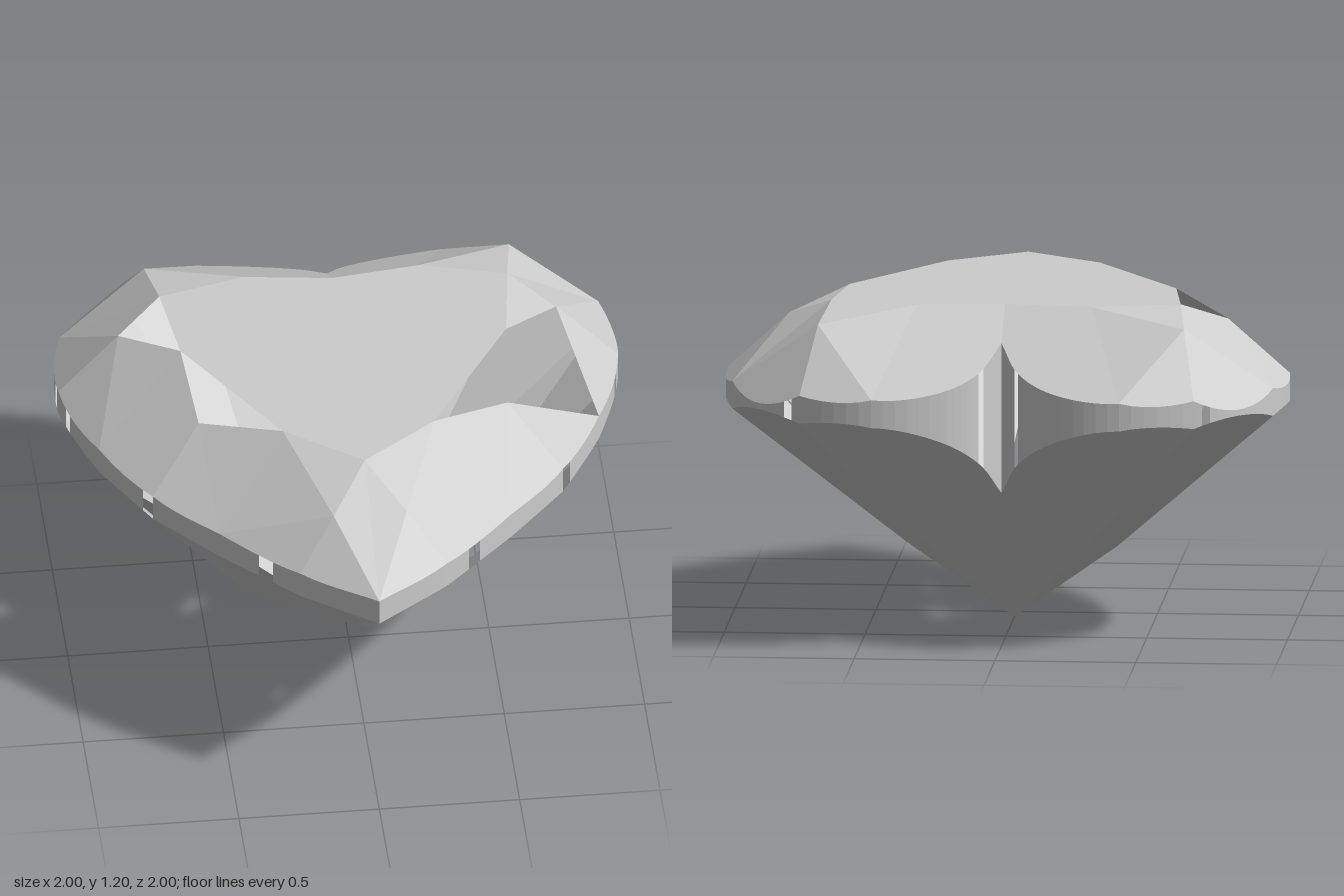
import * as THREE from 'three';

const V = (x, y, z) => new THREE.Vector3(x, y, z);

// Half of the heart outline (x, z), from the front tip round to the back notch
const OUTLINE = [[0, 1], [0.26, 0.81], [0.52, 0.55], [0.73, 0.31], [0.89, 0.02], [0.98, -0.24], [1, -0.42],
  [0.96, -0.64], [0.85, -0.82], [0.7, -0.93], [0.44, -1], [0.2, -0.94], [0.07, -0.84], [0, -0.7]];
const SUB = 6;
const LOBE = 10 * SUB, END = 13 * SUB;
const GAPS = [8, 18, 29, 34, 52, 72]; // open slots in the girdle

// Corners of one half of the stone
const APEX = V(0, 0, -0.1);
const TABLE = [V(0, 1.2, 0.53), V(0.27, 1.2, 0.33), V(0.58, 1.2, -0.17), V(0.62, 1.2, -0.49),
  V(0.31, 1.2, -0.57), V(0, 1.2, -0.53)];
const CROWN = [V(0.13, 1.1, 0.71), V(0.55, 1.12, 0.15), V(0.78, 1.13, -0.37), V(0.65, 1.15, -0.72)];
const PAVILION = [V(0.09, 0.27, 0.25), V(0.37, 0.27, 0.03), V(0.37, 0.27, -0.17), V(0.25, 0.27, -0.39)];
const MAINS = [0, 2, 4, 7, 10].map((i) => i * SUB); // girdle corners of the main facets
const HALVES = [SUB, 3 * SUB, 5.5 * SUB, 9 * SUB];  // where the half facets meet

// Height on the plane through a, b, c above (x, z)
function planeY(a, b, c, p) {
  const n = b.clone().sub(a).cross(c.clone().sub(a));
  return a.y - (n.x * (p.x - a.x) + n.z * (p.z - a.z)) / n.y;
}

// Upper and lower girdle edges, where the flat facets cut the heart-shaped wall
function girdleEdges() {
  const curve = new THREE.CatmullRomCurve3(OUTLINE.map(([x, z]) => V(x, 0, z)));
  const base = Array.from({ length: END + 1 }, (_, i) => curve.getPoint(i / END));
  const at = (i, y) => V(base[i].x, y, base[i].z);
  const top = [], bottom = [];
  for (let k = 0; k < 4; k++) {
    for (const [s, e] of [[MAINS[k], HALVES[k]], [HALVES[k], MAINS[k + 1]]]) {
      for (let i = s; i <= e; i++) {
        top[i] = at(i, planeY(CROWN[k], at(s, 0.93), at(e, 0.93), base[i]));
        bottom[i] = at(i, planeY(PAVILION[k], at(s, 0.83), at(e, 0.83), base[i]));
      }
    }
  }
  for (let i = LOBE; i <= END; i++) {
    top[i] = at(i, planeY(TABLE[4], TABLE[5], at(LOBE, 0.93), base[i]));
    bottom[i] = at(i, planeY(APEX, V(0, 0.55, -0.7), at(LOBE, 0.83), base[i]));
  }
  return { top, bottom };
}

// Mesh from flat polygons, each cut as a fan from its first corner
function facets(name, polygons, side, material) {
  const positions = [];
  for (const p of polygons) {
    for (let i = 1; i < p.length - 1; i++) {
      const tri = side > 0 ? [p[0], p[i], p[i + 1]] : [p[0], p[i + 1], p[i]];
      tri.forEach((v) => positions.push(v.x * side, v.y, v.z));
    }
  }
  const geometry = new THREE.BufferGeometry();
  geometry.setAttribute('position', new THREE.Float32BufferAttribute(positions, 3));
  geometry.computeVertexNormals();
  const mesh = new THREE.Mesh(geometry, material);
  mesh.name = name;
  return mesh;
}

export function createModel() {
  const group = new THREE.Group();
  group.name = 'heartCutGem';
  const material = new THREE.MeshStandardMaterial({ color: 0xcccccc, side: THREE.DoubleSide });
  material.name = 'pale grey crystal';
  const { top, bottom } = girdleEdges();
  const arc = (edge, s, e) => edge.slice(s, e + 1);

  for (const side of [1, -1]) {
    const word = side > 0 ? 'left' : 'right';
    const add = (part, polygons) => group.add(facets(word + part, polygons, side, material));

    // Flat table on top
    add('Table', [[V(0, 1.2, 0), ...TABLE]]);

    // Kite facets of the crown; one is open on the left
    const kites = [[top[0], CROWN[0], TABLE[0]]];
    for (let k = 1; k < 4; k++) {
      if (k === 2 && side > 0) continue;
      kites.push([top[MAINS[k]], CROWN[k], TABLE[k], CROWN[k - 1]]);
    }
    kites.push([top[LOBE], TABLE[4], CROWN[3]]);
    add('CrownKites', kites);

    // Star facets round the table, with open ones
    const stars = [];
    for (let k = 0; k < 4; k++) {
      if (k === 1 || (k === 2 && side < 0)) continue;
      stars.push([TABLE[k], CROWN[k], TABLE[k + 1]]);
    }
    add('CrownStars', stars);

    // Half facets above and below the girdle
    const upper = [], lower = [];
    for (let k = 0; k < 4; k++) {
      for (const [s, e] of [[MAINS[k], HALVES[k]], [HALVES[k], MAINS[k + 1]]]) {
        upper.push([CROWN[k], ...arc(top, s, e)]);
        lower.push([PAVILION[k], ...arc(bottom, s, e).reverse()]);
      }
    }
    add('CrownHalves', upper);
    add('PavilionHalves', lower);

    // Back lobe facets, cut by the notch
    add('CrownLobe', [[TABLE[4], ...arc(top, LOBE, END), TABLE[5]]]);
    add('PavilionLobe', [[APEX, ...arc(bottom, LOBE, END).reverse(), PAVILION[3]]]);

    // Long pavilion facets; those at the front tip and sides are open
    add('PavilionMains', [1, 3].map((k) => [APEX, PAVILION[k], bottom[MAINS[k]], PAVILION[k - 1]]));

    // Girdle wall with narrow slots
    const wall = [];
    for (let i = 0; i < END; i++) {
      if (!GAPS.includes(i)) wall.push([bottom[i], bottom[i + 1], top[i + 1], top[i]]);
    }
    add('Girdle', wall);
  }
  return group;
}
